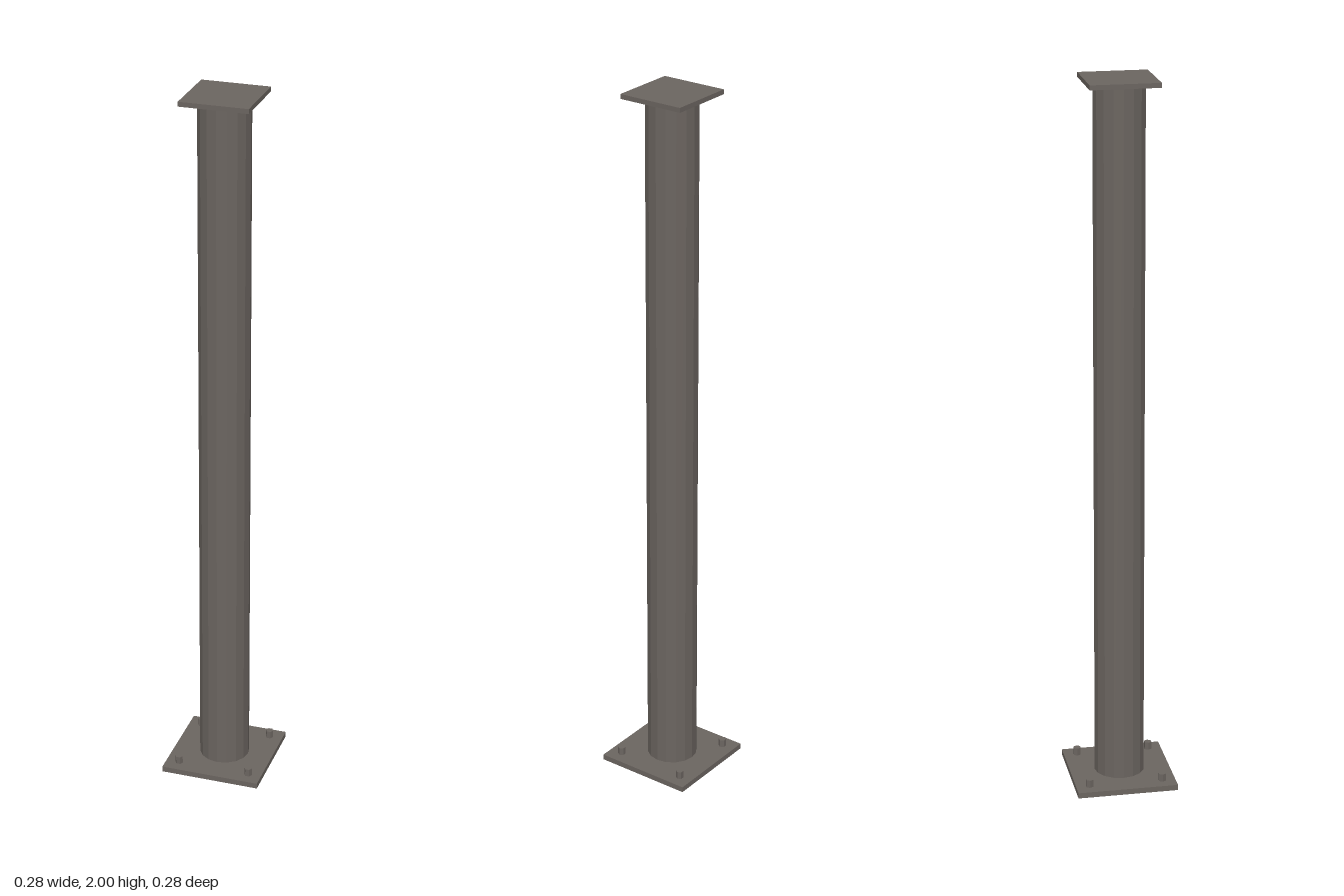
import * as THREE from 'three';

export function createModel() {
  const model = new THREE.Group();
  model.name = 'steelColumn';
  const steel = new THREE.MeshStandardMaterial({ color: 0x6b6560 });
  steel.name = 'grey steel';
  steel.flatShading = true;

  // Adds a part whose underside sits at height y
  function add(name, geometry, height, x, y, z) {
    const mesh = new THREE.Mesh(geometry, steel);
    mesh.name = name;
    mesh.position.set(x, y + height / 2, z);
    model.add(mesh);
    return mesh;
  }

  const baseH = 0.016, capH = 0.013, boltH = 0.022;
  const shaftH = 2 - baseH - capH;

  // Plates and round shaft
  add('basePlate', new THREE.BoxGeometry(0.284, baseH, 0.284), baseH, 0, 0, 0);
  add('shaft', new THREE.CylinderGeometry(0.071, 0.071, shaftH, 16), shaftH, 0, baseH, 0);
  add('capPlate', new THREE.BoxGeometry(0.189, capH, 0.189), capH, 0, 2 - capH, 0);

  // Hexagonal anchor bolts at the base corners, points along x
  const boltGeometry = new THREE.CylinderGeometry(0.011, 0.011, boltH, 6).rotateY(Math.PI / 2);
  for (const sx of [-1, 1]) {
    for (const sz of [-1, 1]) {
      add('anchorBolt', boltGeometry, boltH, sx * 0.104, baseH, sz * 0.104);
    }
  }
  return model;
}
